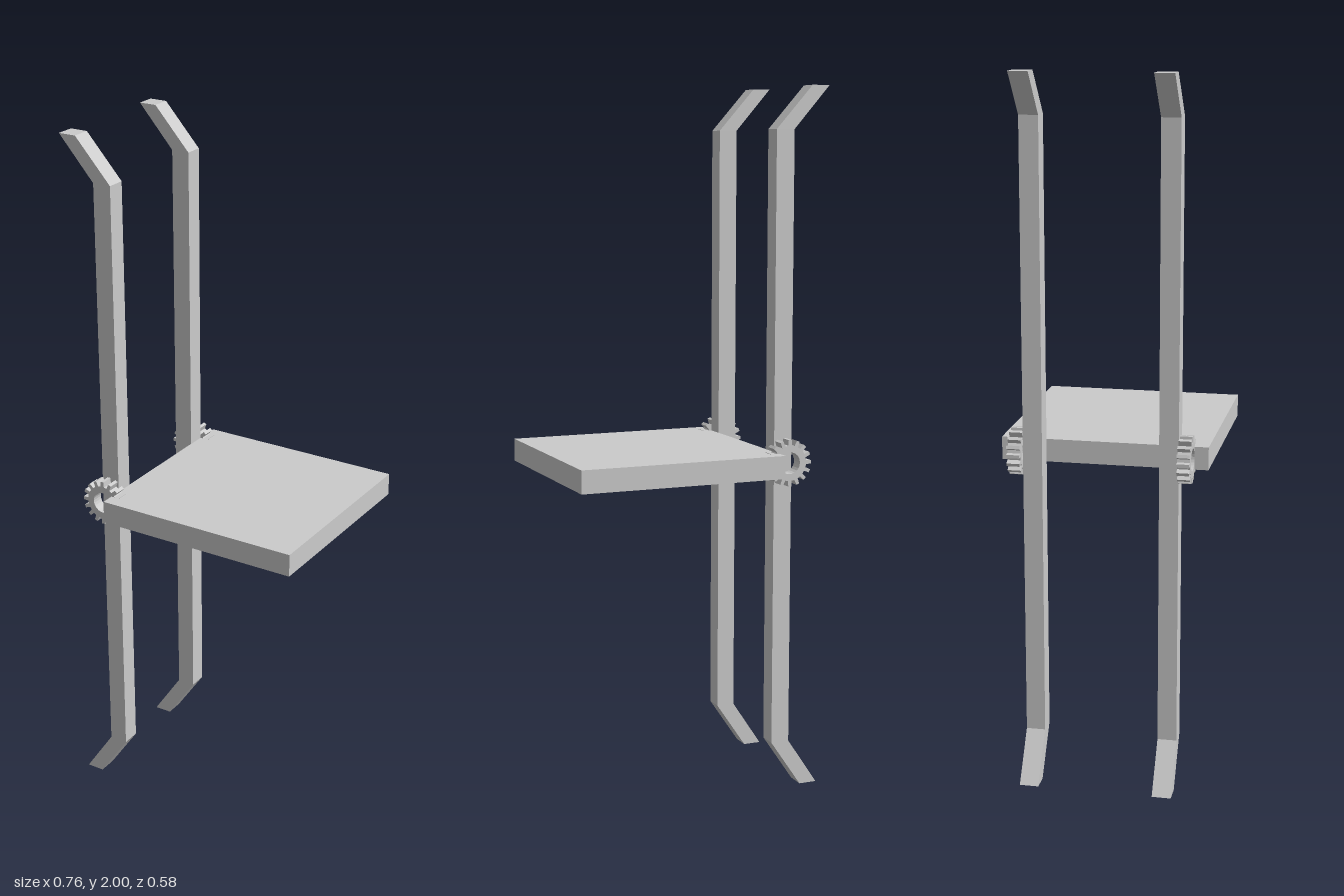
import * as THREE from 'three';

const material = new THREE.MeshStandardMaterial({ color: 0xcccccc, flatShading: true });

// Extrudes an outline from z0 to z1
function slab(name, shape, z0, z1) {
  const geometry = new THREE.ExtrudeGeometry(shape, { depth: z1 - z0, bevelEnabled: false, curveSegments: 12 });
  geometry.translate(0, 0, z0);
  const mesh = new THREE.Mesh(geometry, material);
  mesh.name = name;
  return mesh;
}

// Upright with both ends bent backwards
function uprightShape() {
  return new THREE.Shape([
    [-0.365, 0], [-0.313, 0], [-0.221, 0.135], [-0.221, 1.88],
    [-0.329, 2], [-0.381, 2], [-0.275, 1.88], [-0.275, 0.135],
  ].map(([x, y]) => new THREE.Vector2(x, y)));
}

// Gear outline with straight teeth and a round bore
function gearShape(teeth = 16, root = 0.05, tip = 0.066, halfTooth = 0.0055) {
  const points = [];
  for (let i = 0; i < teeth; i++) {
    const a = (i / teeth) * Math.PI * 2;
    for (const [r, side] of [[root, -1], [tip, -0.85], [tip, 0.85], [root, 1]]) {
      const t = side * halfTooth;
      points.push(new THREE.Vector2(r * Math.cos(a) - t * Math.sin(a), r * Math.sin(a) + t * Math.cos(a)));
    }
  }
  const shape = new THREE.Shape(points);
  shape.holes.push(new THREE.Path().absarc(0, 0, 0.031, 0, Math.PI * 2, true));
  return shape;
}

export function createModel() {
  const model = new THREE.Group();
  model.name = 'hingedPanel';

  // Flat panel
  const panel = new THREE.Mesh(new THREE.BoxGeometry(0.602, 0.065, 0.582), material);
  panel.name = 'panel';
  panel.position.set(0.079, 0.953, 0);
  model.add(panel);

  // An upright and a gear on its outer face, at the front and the back
  const sides = [
    ['front', 0.163, 0.217, 0.217, 0.252],
    ['back', -0.218, -0.164, -0.255, -0.218],
  ];
  for (const [side, post0, post1, gear0, gear1] of sides) {
    model.add(slab(side + 'Upright', uprightShape(), post0, post1));
    const gear = slab(side + 'Gear', gearShape(), gear0, gear1);
    gear.position.set(-0.253, 0.957, 0);
    model.add(gear);
  }
  return model;
}
